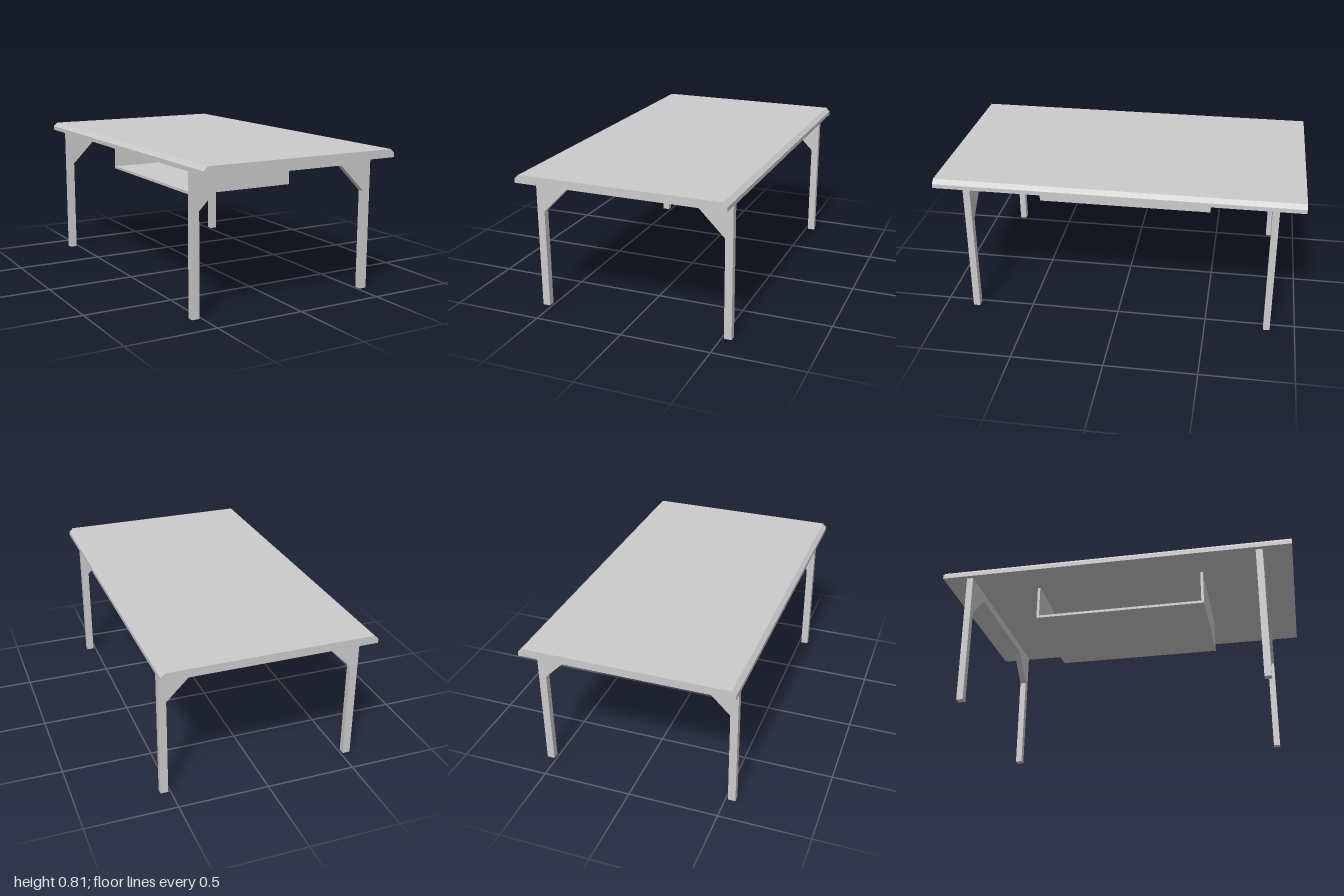
import * as THREE from 'three';

const material = new THREE.MeshStandardMaterial({ color: 0xcccccc, flatShading: true });

// Extrudes an outline in the xy plane from z0 to z1
function slab(name, points, z0, z1) {
  const shape = new THREE.Shape(points.map(([x, y]) => new THREE.Vector2(x, y)));
  const geometry = new THREE.ExtrudeGeometry(shape, { depth: z1 - z0, bevelEnabled: false });
  geometry.translate(0, 0, z0);
  const mesh = new THREE.Mesh(geometry, material);
  mesh.name = name;
  return mesh;
}

// Box given by its two opposite corners
function box(name, [x0, y0, z0], [x1, y1, z1]) {
  const mesh = new THREE.Mesh(new THREE.BoxGeometry(x1 - x0, y1 - y0, z1 - z0), material);
  mesh.position.set((x0 + x1) / 2, (y0 + y1) / 2, (z0 + z1) / 2);
  mesh.name = name;
  return mesh;
}

// Takes the right half of an outline and adds its mirror image
const mirrored = (half) => [...half, ...half.map(([x, y]) => [-x, y]).reverse()];

export function createModel() {
  const table = new THREE.Group();
  table.name = 'table';

  // Top with chamfered long edges
  const topHalf = [[0.58, 0.76], [0.58, 0.783], [0.557, 0.805]];
  table.add(slab('tableTop', mirrored(topHalf), -1, 1));

  // Leg frames: two legs joined by a rail with diagonal braces
  const frameHalf = [[0.358, 0.71], [0.513, 0.555], [0.513, 0], [0.555, 0], [0.555, 0.76]];
  table.add(slab('frontLegFrame', mirrored(frameHalf), 0.802, 0.84));
  table.add(slab('backLegFrame', mirrored(frameHalf), -0.863, -0.826));

  // Storage shelf under the top, open towards -x
  const shelf = new THREE.Group();
  shelf.name = 'underShelf';
  const x0 = -0.372, x1 = 0.265, y0 = 0.56, y1 = 0.76, z = 0.49, t = 0.015;
  shelf.add(box('shelfBottom', [x0, y0, -z], [x1, y0 + t, z]));
  shelf.add(box('shelfBack', [x1 - t, y0 + t, -z], [x1, y1, z]));
  shelf.add(box('shelfFrontSide', [x0, y0 + t, z - t], [x1 - t, y1, z]));
  shelf.add(box('shelfRearSide', [x0, y0 + t, -z], [x1 - t, y1, -z + t]));
  table.add(shelf);

  return table;
}
